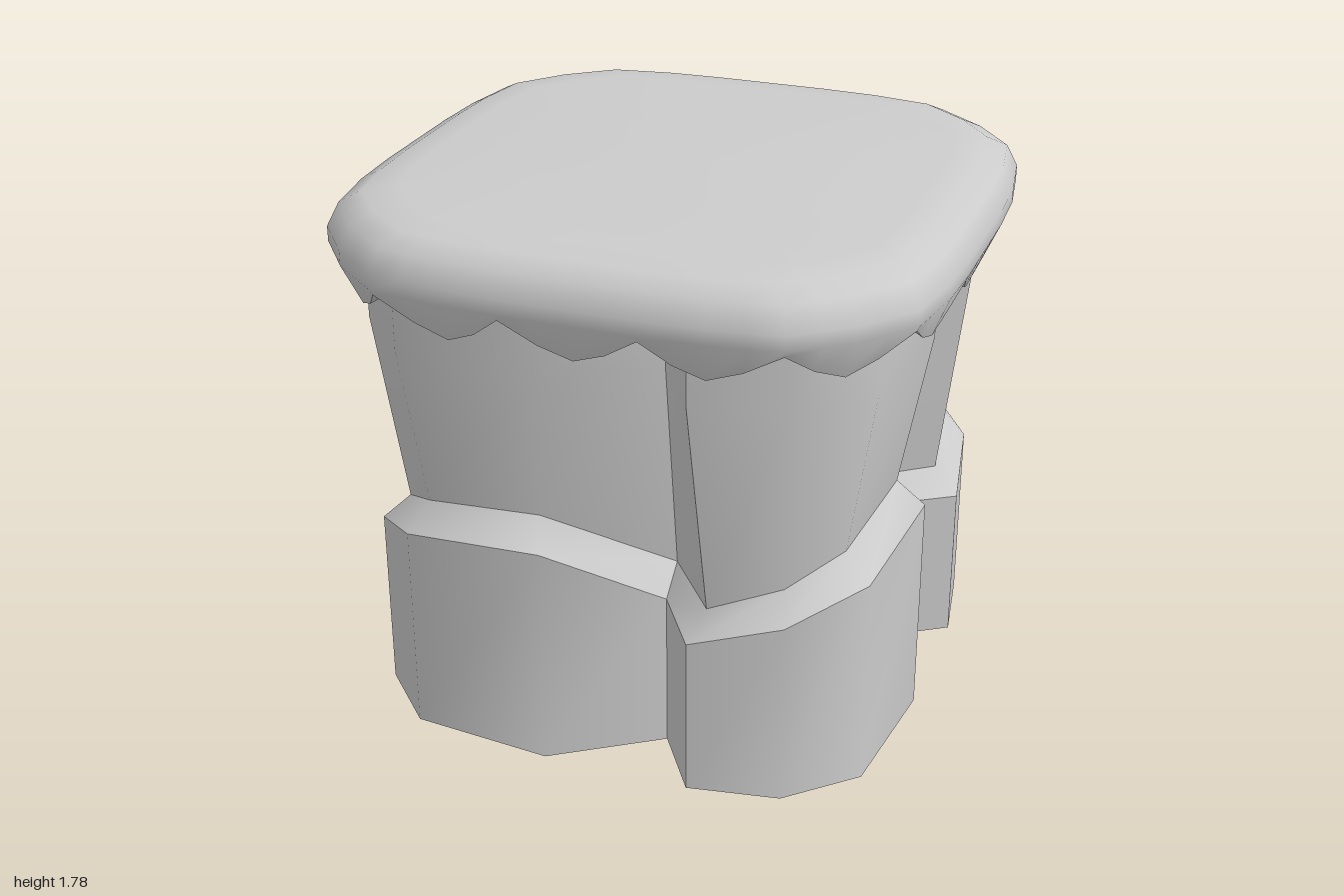
import * as THREE from 'three';
import { toCreasedNormals } from 'three/addons/utils/BufferGeometryUtils.js';

const material = new THREE.MeshStandardMaterial({ color: 0xcccccc, side: THREE.DoubleSide });

// Repeat a quarter outline of [x, z, y] points four times around the y axis.
function fourfold(quarter) {
  const ring = [];
  for (let k = 0; k < 4; k++) {
    for (const [px, pz, py] of quarter) {
      let x = px, z = pz;
      for (let i = 0; i < k; i++) [x, z] = [z, -x];
      ring.push(new THREE.Vector3(x, py, z));
    }
  }
  return ring;
}

// Skin closed rings, listed from the bottom (or inside) outwards and up.
function loft(name, rings) {
  const n = rings[0].length;
  const index = [];
  for (let r = 0; r < rings.length - 1; r++) {
    for (let i = 0; i < n; i++) {
      const j = (i + 1) % n;
      const a = r * n + i, b = r * n + j, c = a + n, d = b + n;
      index.push(a, b, d, a, d, c);
    }
  }
  const geometry = new THREE.BufferGeometry().setFromPoints(rings.flat());
  geometry.setIndex(index);
  const mesh = new THREE.Mesh(toCreasedNormals(geometry, 0.9), material);
  mesh.name = name;
  return mesh;
}

// Outline of one overlapping column lobe: [x, z, ledge height].
const outerLobe = [
  [0.33, 0.89, 0.54], [0.63, 0.84, 0.63], [0.84, 0.64, 0.715],
  [0.89, 0.16, 0.76], [0.66, -0.18, 0.54],
];
const innerLobe = [
  [0.365, 0.8, 0.625], [0.6, 0.75, 0.715], [0.75, 0.6, 0.8],
  [0.8, 0.19, 0.85], [0.56, -0.18, 0.625],
];
const atHeight = (lobe, y) => fourfold(lobe.map(([x, z]) => [x, z, y]));

// Rounded-square cap with a scalloped rim.
function createCap() {
  const corners = [
    [0, 1], [0.22, 1], [0.43, 0.99], [0.65, 0.955],
    [0.82, 0.82], [0.955, 0.65], [0.99, 0.43], [1, 0.22], [1, 0],
  ];
  // Each outline point carries its scallop depth: 1 at the lobes, 0 at the notches.
  const outline = [];
  for (let i = 0; i < 8; i++) {
    const [ax, az] = corners[i], [bx, bz] = corners[i + 1];
    outline.push([ax, az, i % 2 ? 0 : 1], [(ax + bx) / 2, (az + bz) / 2, 0.65]);
  }
  const ring = (scale, y) => fourfold(outline.map(([x, z, t]) => {
    const s = typeof scale === 'function' ? scale(t) : scale;
    return [x * s, z * s, typeof y === 'function' ? y(t) : y];
  }));
  return loft('scallopedCap', [
    ring(0, 1.63),
    ring(0.8, 1.62),
    ring(0.88, (t) => 1.6 - 0.09 * t),
    ring((t) => 0.99 - 0.045 * t, (t) => 1.59 - 0.115 * t),
    ring(1, 1.61),
    ring(1, 1.66),
    ring(0.965, 1.735),
    ring(0.9, 1.77),
    ring(0.8, 1.78),
    ring(0, 1.78),
  ]);
}

export function createModel() {
  const model = new THREE.Group();
  model.name = 'cappedColumn';
  model.add(
    // Vertical base walls, sloped ledge and flared upper walls, open inside
    loft('baseWalls', [atHeight(outerLobe, 0), fourfold(outerLobe)]),
    loft('ledge', [fourfold(outerLobe), fourfold(innerLobe)]),
    loft('upperWalls', [
      fourfold(innerLobe), atHeight(outerLobe, 1.36), atHeight(outerLobe, 1.62),
    ]),
    createCap(),
  );
  return model;
}
